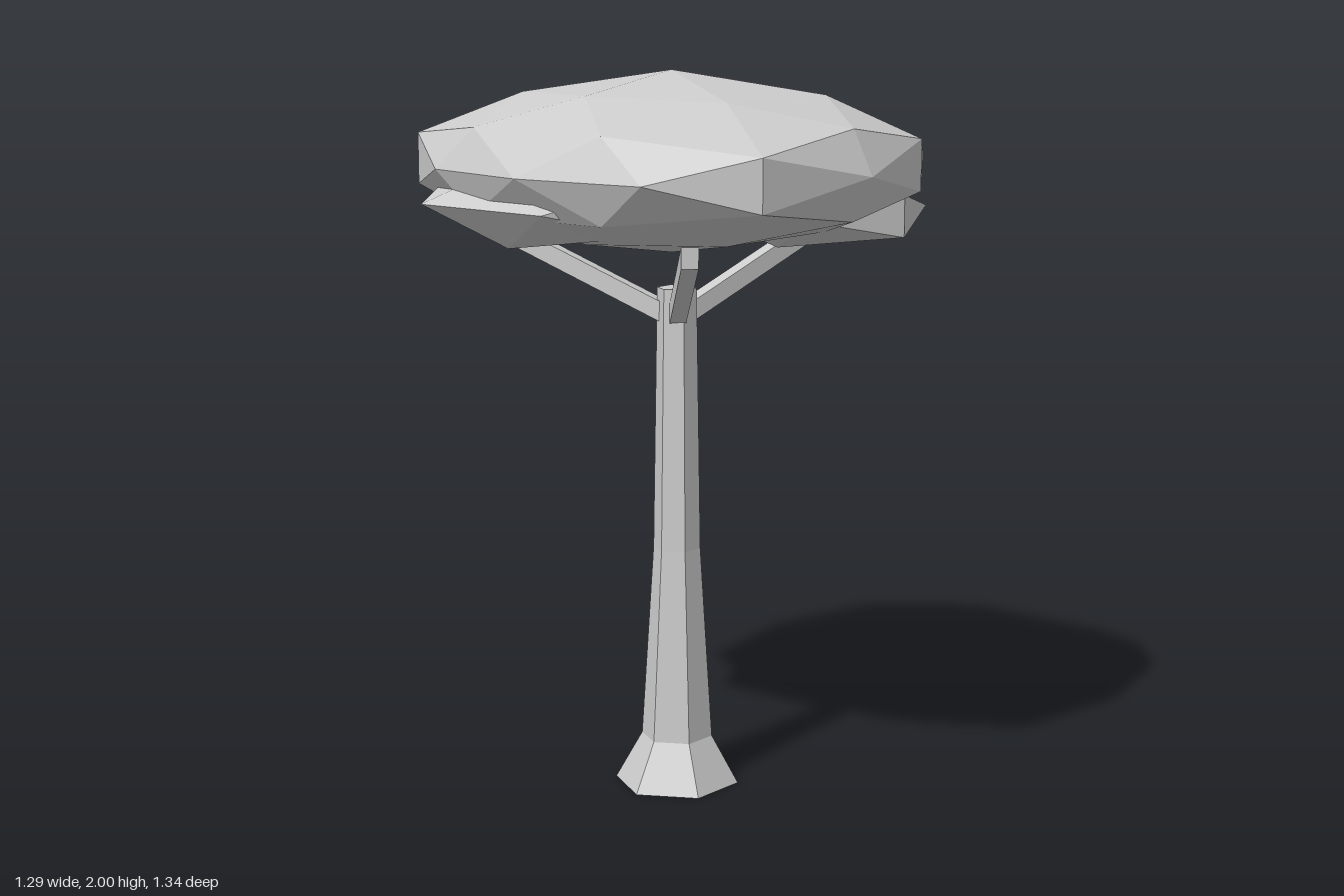
import * as THREE from 'three';

const TRUNK_X = -0.025, TRUNK_Z = 0.02;

// Flattened, slightly boxy faceted crown: off-axis vertices are pushed outwards
function crownGeometry() {
  const geo = new THREE.IcosahedronGeometry(1, 1);
  const pos = geo.attributes.position;
  const v = new THREE.Vector3();
  for (let i = 0; i < pos.count; i++) {
    v.fromBufferAttribute(pos, i);
    const offAxis = Math.max(Math.abs(v.x), Math.abs(v.y), Math.abs(v.z)) < 0.99;
    const wide = offAxis ? 1.07 : 1;
    const corner = v.x < -0.45 && v.x > -0.55 && Math.abs(v.z) > 0.75;
    const x = v.x * 0.635 * wide - 0.015 * (1 - Math.abs(v.x)) - (corner ? 0.035 : 0);
    const y = v.y * 0.2475 * (offAxis ? 0.92 : 1);
    let z = v.z * 0.67 * wide * (corner ? 1.04 : 1);
    // uneven rim corners
    if (Math.abs(v.y) < 0.01 && offAxis && v.x * v.z > 0) z += 0.04;
    pos.setXYZ(i, x - 0.008, y + 1.7525, z);
  }
  geo.computeVertexNormals();
  return geo;
}

// Square limb with upright ends, rising from the trunk towards (x, z)
function branchGeometry(x, z) {
  const dx = x - TRUNK_X, dz = z - TRUNK_Z;
  const start = 0.02, length = Math.hypot(dx, dz) - start;
  const geo = new THREE.BoxGeometry(length, 0.056, 0.045);
  geo.translate(start + length / 2, 0, 0);
  const pos = geo.attributes.position;
  for (let i = 0; i < pos.count; i++) {
    pos.setY(i, pos.getY(i) + 1.325 + 0.457 * pos.getX(i));
  }
  geo.rotateY(-Math.atan2(dz, dx));
  geo.translate(TRUNK_X, 0, TRUNK_Z);
  geo.computeVertexNormals();
  return geo;
}

export function createModel() {
  const model = new THREE.Group();
  model.name = 'tree';
  const grey = new THREE.MeshStandardMaterial({ color: 0xcccccc, flatShading: true, side: THREE.DoubleSide });
  grey.name = 'light grey';

  const add = (name, geo) => {
    const mesh = new THREE.Mesh(geo, grey);
    mesh.name = name;
    model.add(mesh);
    return mesh;
  };

  // Six-sided trunk with a flared, open foot
  const profile = [[0.175, 0], [0.1, 0.135], [0.066, 0.68], [0.055, 1.41], [0, 1.41]]
    .map(([r, y]) => new THREE.Vector2(r, y));
  const trunk = new THREE.LatheGeometry(profile, 6).rotateY(Math.PI / 2);
  add('trunk', trunk.translate(TRUNK_X, 0, TRUNK_Z));

  // Three limbs
  [['frontBranch', -0.39, 0.37], ['backBranch', -0.23, -0.45], ['sideBranch', 0.47, 0.14]]
    .forEach(([name, x, z]) => add(name, branchGeometry(x, z)));

  // Foliage
  add('crown', crownGeometry());
  [
    ['leftLeafClump', [0.37, 1.605, 0.19], [0.32, 0.11, 0.36]],
    ['rightLeafClump', [-0.342, 1.66, -0.15], [0.32, 0.13, 0.41]],
  ].forEach(([name, centre, size]) => {
    const geo = new THREE.IcosahedronGeometry(1, 0).scale(...size).translate(...centre);
    geo.computeVertexNormals();
    add(name, geo);
  });

  return model;
}
